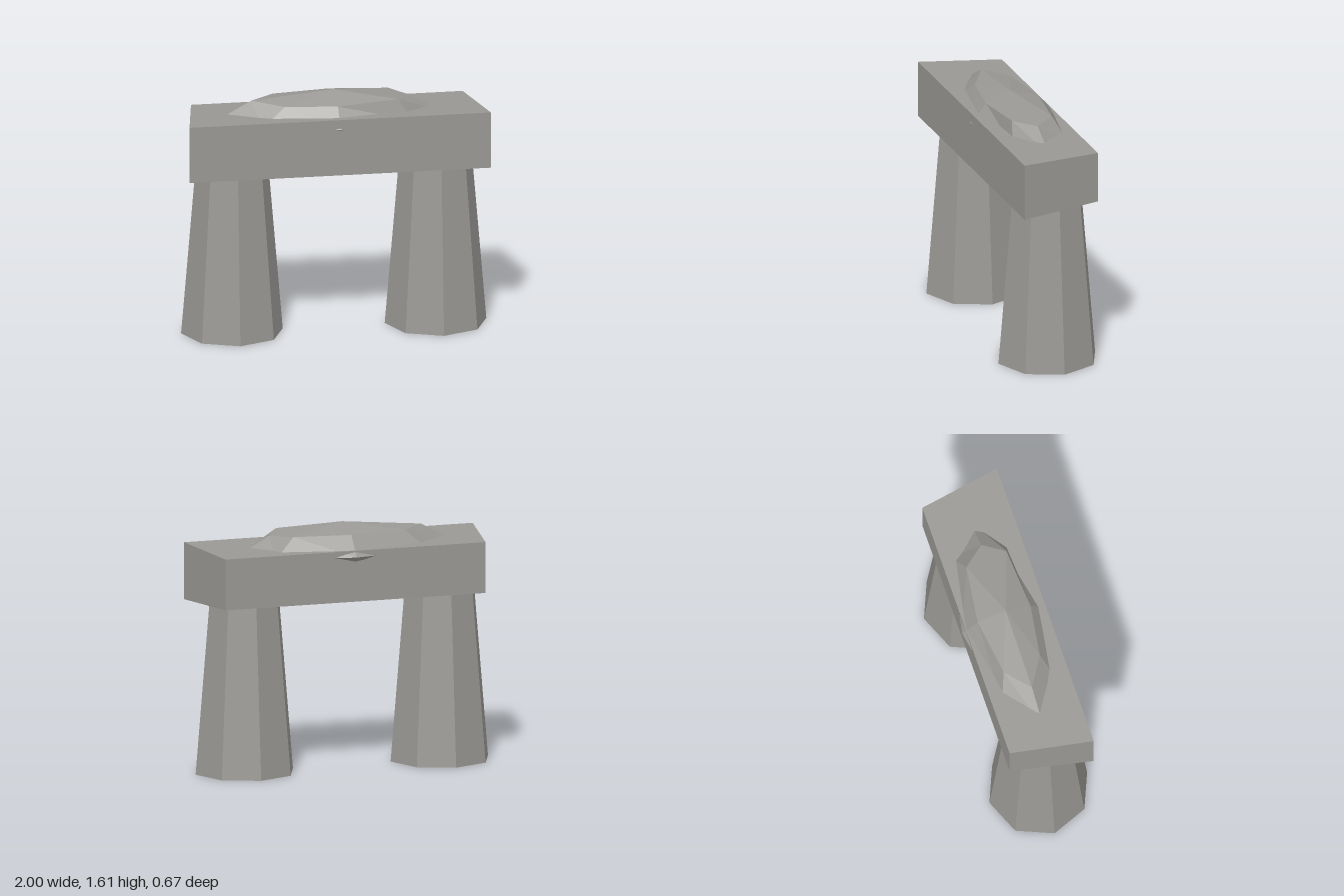
import * as THREE from 'three';

const stone = new THREE.MeshStandardMaterial({ color: 0x9a9894, flatShading: true });
stone.name = 'grey stone';

function addPart(group, name, geometry) {
  const mesh = new THREE.Mesh(geometry, stone);
  mesh.name = name;
  group.add(mesh);
  return mesh;
}

// Slab that is shorter and slightly thinner toward its back face
function lintelGeometry() {
  const g = new THREE.BoxGeometry(2, 2, 2);
  const p = g.attributes.position;
  for (let i = 0; i < p.count; i++) {
    const front = p.getZ(i) > 0;
    const x = front ? (p.getX(i) > 0 ? 0.985 : 0.99) : 0.89;
    const y = p.getY(i) > 0 ? (front ? 1.48 : 1.46) : (front ? 1.105 : 1.125);
    p.setXYZ(i, Math.sign(p.getX(i)) * x, y, p.getZ(i) * 0.27);
  }
  return g;
}

// Rough eight-sided boulder; rings run left end, front, right end, back
function boulderGeometry() {
  const centreY = 1.42;
  const shoulder = [
    [-0.54, 1.555, 0], [-0.34, 1.54, 0.12], [0, 1.54, 0.17], [0.4, 1.56, 0.14],
    [0.5, 1.54, 0], [0.38, 1.55, -0.14], [0, 1.55, -0.19], [-0.38, 1.55, -0.14],
  ];
  const waist = [
    [-0.79, 1.42, 0], [-0.5, 1.42, 0.19], [0, 1.415, 0.276], [0.49, 1.42, 0.17],
    [0.72, 1.42, 0], [0.52, 1.42, -0.2], [0, 1.42, -0.295], [-0.53, 1.42, -0.2],
  ];
  const base = shoulder.map(([x, y, z]) => [x, 2 * centreY - y, z]);
  const rings = [null, shoulder, waist, base, null];

  const g = new THREE.SphereGeometry(1, 8, 4);
  const p = g.attributes.position;
  for (let i = 0; i < p.count; i++) {
    const row = Math.floor(i / 9);
    const point = rings[row] ? rings[row][(i % 9) % 8] : [0, row === 0 ? 1.605 : 1.235, 0];
    p.setXYZ(i, ...point);
  }
  return g;
}

export function createModel() {
  const model = new THREE.Group();
  model.name = 'stone arch';

  // Tapered eight-sided pillars, tops sunk into the slab
  for (const side of [-1, 1]) {
    const pillar = addPart(model, side > 0 ? 'leftPillar' : 'rightPillar',
      new THREE.CylinderGeometry(0.236, 0.333, 1.15, 8));
    pillar.position.set(side * 0.667, 0.575, 0);
  }

  addPart(model, 'lintel', lintelGeometry());
  addPart(model, 'boulder', boulderGeometry());
  return model;
}
